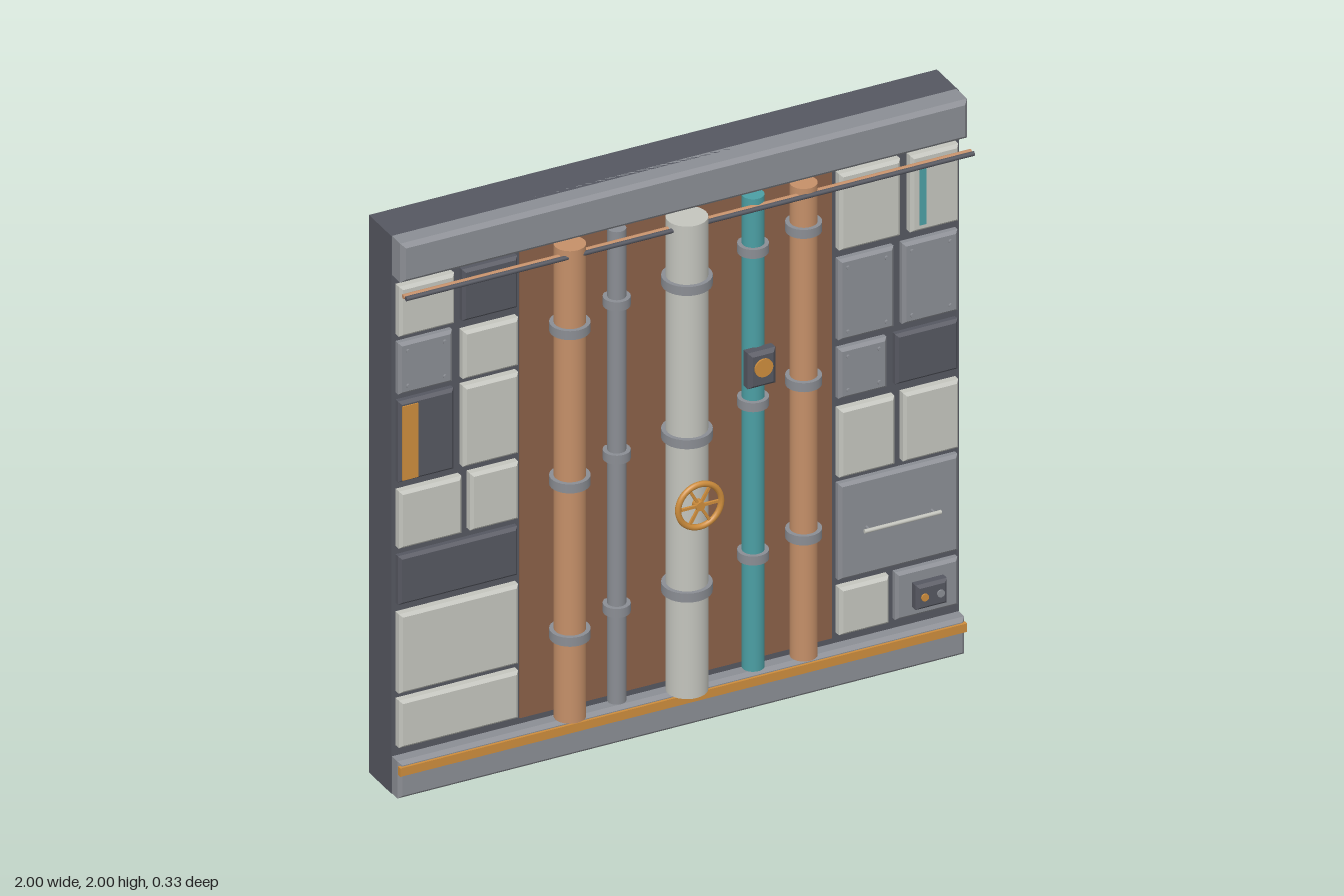
import * as THREE from 'three';

const mat = (name, color, flatShading = false) => {
  const m = new THREE.MeshStandardMaterial({ color, flatShading });
  m.name = name;
  return m;
};

export function createModel() {
  const root = new THREE.Group();
  root.name = 'pipeWallPanel';
  const dark = mat('darkSteel', 0x555760);
  const grey = mat('greySteel', 0x8a8d93);
  const white = mat('paleEnamel', 0xc3c4bd);
  const copper = mat('copper', 0xc48f68);
  const brown = mat('rustBrown', 0x8a6048);
  const teal = mat('teal', 0x4b9ea3);
  const orange = mat('orange', 0xcc8c3c);

  const add = (name, geo, material, x = 0, y = 0, z = 0, parent = root) => {
    const m = new THREE.Mesh(geo, material);
    m.name = name;
    m.position.set(x, y, z);
    parent.add(m);
    return m;
  };

  // Box given by its limits
  const box = (name, material, x0, x1, y0, y1, z0, z1) =>
    add(name, new THREE.BoxGeometry(x1 - x0, y1 - y0, z1 - z0), material,
      (x0 + x1) / 2, (y0 + y1) / 2, (z0 + z1) / 2);

  // Box with chamfered edges, given by its limits
  const chamferBox = (name, material, x0, x1, y0, y1, z0, z1, b) => {
    const s = new THREE.Shape();
    s.moveTo(x0 + b, y0 + b);
    s.lineTo(x1 - b, y0 + b);
    s.lineTo(x1 - b, y1 - b);
    s.lineTo(x0 + b, y1 - b);
    s.closePath();
    const geo = new THREE.ExtrudeGeometry(s, {
      depth: z1 - z0 - 2 * b, bevelEnabled: true, bevelThickness: b, bevelSize: b, bevelSegments: 1,
    });
    return add(name, geo, material, 0, 0, z0 + b);
  };

  // Disc or rod facing +z
  const stud = (name, material, r, h, x, y, z, sides = 12) => {
    const m = add(name, new THREE.CylinderGeometry(r, r, h, sides), material, x, y, z);
    m.rotation.x = Math.PI / 2;
    return m;
  };

  // Back slab, recess lining, top and bottom beams
  box('backSlab', dark, -1, 1, 0, 2, -0.163, -0.012);
  box('recessLining', brown, -0.55, 0.55, 0.155, 1.85, -0.015, -0.007);
  chamferBox('topBeam', grey, -0.998, 0.998, 1.86, 2, -0.04, 0.058, 0.014);
  chamferBox('bottomBeam', grey, -0.998, 0.998, 0, 0.133, -0.04, 0.037, 0.012);
  box('bottomStripe', orange, -0.998, 0.998, 0.088, 0.118, 0.03, 0.046);

  // Wall plates: material, x range, y range, rivets
  const plates = [
    [white, -0.985, -0.79, 1.645, 1.825],
    [dark, -0.76, -0.565, 1.64, 1.825],
    [grey, -0.985, -0.795, 1.435, 1.62, true],
    [white, -0.76, -0.565, 1.435, 1.607],
    [dark, -0.985, -0.79, 1.12, 1.41],
    [white, -0.76, -0.565, 1.12, 1.41],
    [white, -0.985, -0.765, 0.885, 1.09],
    [white, -0.735, -0.565, 0.885, 1.09],
    [dark, -0.985, -0.565, 0.68, 0.855],
    [white, -0.985, -0.565, 0.365, 0.65],
    [white, -0.985, -0.565, 0.17, 0.34],
    [white, 0.565, 0.78, 1.55, 1.825],
    [white, 0.815, 0.985, 1.55, 1.825],
    [grey, 0.565, 0.76, 1.225, 1.515, true],
    [grey, 0.79, 0.985, 1.225, 1.515, true],
    [grey, 0.565, 0.735, 1.015, 1.195, true],
    [dark, 0.765, 0.985, 1.015, 1.195],
    [white, 0.565, 0.76, 0.735, 0.98],
    [white, 0.79, 0.985, 0.735, 0.98],
    [grey, 0.565, 0.985, 0.365, 0.71],
    [white, 0.565, 0.74, 0.17, 0.34],
    [grey, 0.765, 0.985, 0.17, 0.34],
  ];
  for (const [m, x0, x1, y0, y1, rivets] of plates) {
    const front = m === white ? 0.02 : 0.014;
    chamferBox('wallPlate', m, x0, x1, y0, y1, -0.03, front, 0.01);
    if (!rivets) continue;
    for (const x of [x0 + 0.03, x1 - 0.03])
      for (const y of [y0 + 0.03, y1 - 0.03]) stud('rivet', grey, 0.007, 0.01, x, y, front + 0.002, 8);
  }

  // Plate details: stripes, handle and socket
  box('orangeStripe', orange, -0.975, -0.92, 1.13, 1.395, 0.012, 0.018);
  box('tealStripe', teal, 0.843, 0.866, 1.575, 1.795, 0.017, 0.025);
  const handle = add('handleBar', new THREE.CylinderGeometry(0.007, 0.007, 0.27, 10), white, 0.775, 0.537, 0.038);
  handle.rotation.z = Math.PI / 2;
  for (const x of [0.66, 0.89]) stud('handlePost', grey, 0.005, 0.03, x, 0.537, 0.024, 8);
  chamferBox('socketBox', dark, 0.82, 0.93, 0.208, 0.296, 0.005, 0.048, 0.01);
  stud('socketLight', orange, 0.013, 0.008, 0.847, 0.253, 0.05);
  stud('socketButton', grey, 0.013, 0.008, 0.903, 0.253, 0.05);

  // Vertical pipes with three clamps each: material, x, radius, top clamp height
  const pipes = [
    [copper, -0.404, 0.051, 1.555],
    [grey, -0.228, 0.03, 1.59],
    [white, 0, 0.067, 1.625],
    [teal, 0.249, 0.036, 1.66],
    [copper, 0.423, 0.044, 1.695],
  ];
  for (const [m, x, r, top] of pipes) {
    add('pipe', new THREE.CylinderGeometry(r, r, 1.695, 28), m, x, 1.0025, r);
    for (let i = 0; i < 3; i++)
      add('pipeClamp', new THREE.CylinderGeometry(r + 0.014, r + 0.014, 0.032, 28), grey, x, top - i * 0.55, r);
  }

  // Horizontal cables under the top beam
  for (const [m, y, z, r] of [[copper, 1.822, 0.067, 0.008], [dark, 1.824, 0.087, 0.008]])
    add('cable', new THREE.CylinderGeometry(r, r, 2, 10), m, 0, y, z).rotation.z = Math.PI / 2;

  // Gauge on the teal pipe
  chamferBox('gaugeBox', dark, 0.2, 0.297, 1.19, 1.318, 0.055, 0.106, 0.012);
  stud('gaugeFace', orange, 0.032, 0.01, 0.249, 1.262, 0.107, 24);

  // Valve wheel on the central pipe
  const wheel = new THREE.Group();
  wheel.name = 'valveWheel';
  wheel.position.set(0, 0.855, 0.153);
  root.add(wheel);
  add('wheelRim', new THREE.TorusGeometry(0.076, 0.01, 10, 36), orange, 0, 0, 0, wheel);
  for (let i = 0; i < 3; i++)
    add('wheelSpoke', new THREE.BoxGeometry(0.15, 0.009, 0.008), orange, 0, 0, 0, wheel).rotation.z = (i * Math.PI) / 3;
  const hub = add('wheelHub', new THREE.CylinderGeometry(0.016, 0.016, 0.035, 16), orange, 0, 0, -0.009, wheel);
  hub.rotation.x = Math.PI / 2;

  return root;
}
